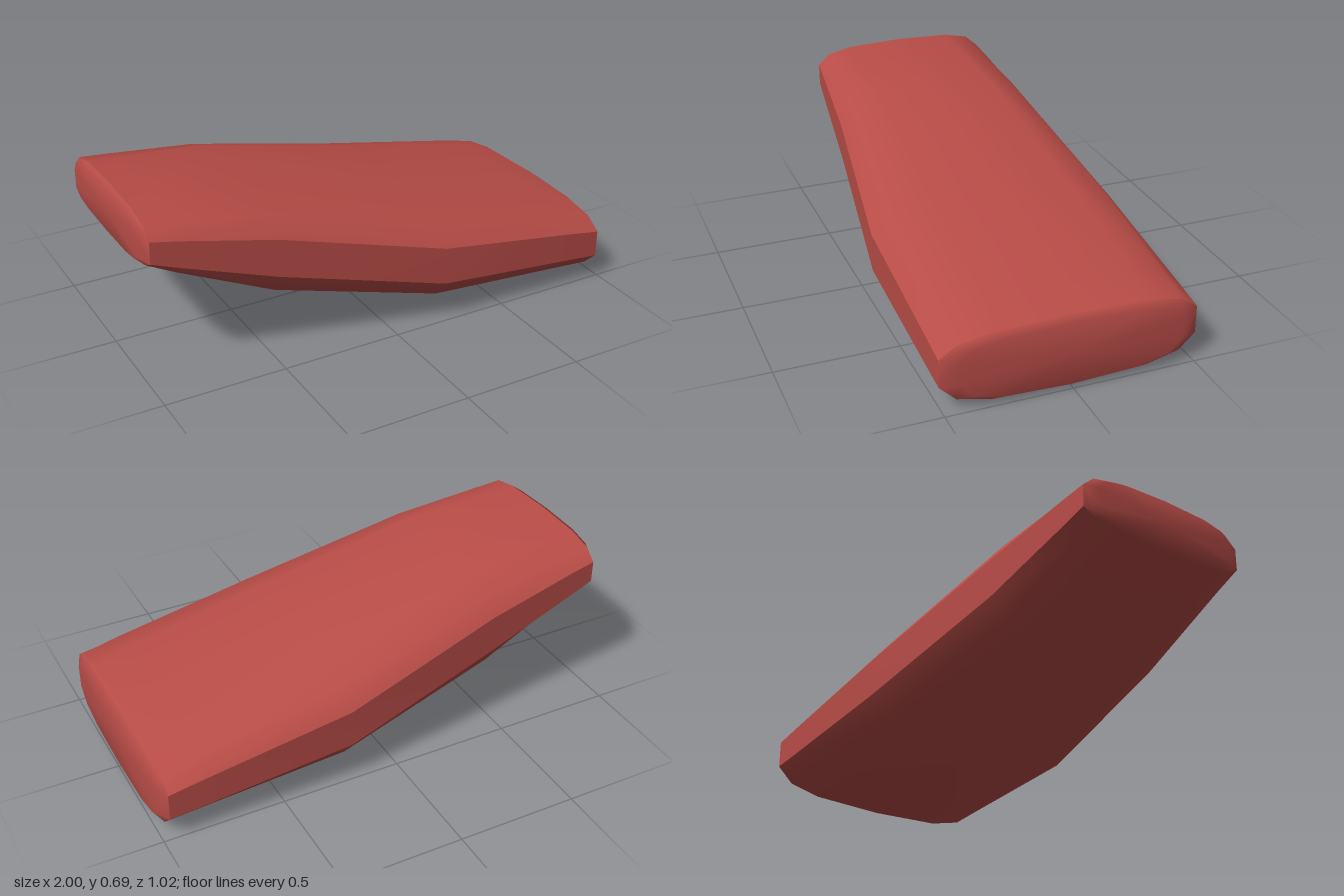
import * as THREE from 'three';

// Stations along the body: x, half width, top, side top edge, side bottom edge, bottom
const stations = [
  [-0.975, 0.385, 0.695, 0.62, 0.53, 0.485],
  [-0.86, 0.395, 0.685, 0.6, 0.49, 0.417],
  [-0.48, 0.428, 0.652, 0.523, 0.365, 0.222],
  [0.21, 0.512, 0.48, 0.343, 0.185, 0.05],
  [0.82, 0.512, 0.345, 0.25, 0.126, 0.014],
  [0.972, 0.512, 0.303, 0.225, 0.112, 0.003],
];

// Curved crown from the -z edge to the +z edge: [share of width, share of drop]
const crown = [[-1, 1], [-0.87, 0.41], [-0.6, 0.11], [0, 0], [0.6, 0.11], [0.87, 0.41], [1, 1]];

const topRow = ([x, w, t, s]) => crown.map(([u, v]) => new THREE.Vector3(x, t + (s - t) * v, u * w));
const bottomRow = ([x, w, , , s, b]) => crown.map(([u, v]) => new THREE.Vector3(x, b + (s - b) * v, u * w));

// Smooth surface through rows of points
function skin(rows, flip = false) {
  const n = rows[0].length;
  const index = [];
  for (let i = 0; i < rows.length - 1; i++) {
    for (let j = 0; j < n - 1; j++) {
      const a = i * n + j, b = a + 1, c = a + n, d = c + 1;
      if (flip) index.push(a, c, b, b, c, d);
      else index.push(a, b, c, b, d, c);
    }
  }
  const geometry = new THREE.BufferGeometry().setFromPoints(rows.flat());
  geometry.setIndex(index);
  geometry.computeVertexNormals();
  return geometry;
}

// Bevelled end: outer ring, smaller ring moved outward, and a centre point
function endCap(station, endX) {
  const ring = [...topRow(station), ...bottomRow(station).reverse()];
  const n = ring.length;
  const midY = (station[2] + station[5]) / 2;
  const inner = ring.map((p) => new THREE.Vector3(endX, midY + (p.y - midY) * 0.86, p.z * 0.86));
  const index = [];
  const add = (a, b, c) => (endX > 0 ? index.push(a, c, b) : index.push(a, b, c));
  for (let i = 0; i < n; i++) {
    const j = (i + 1) % n;
    add(i, n + i, j);
    add(j, n + i, n + j);
    add(n + i, 2 * n, n + j);
  }
  // The ring runs from -z over the top to +z, so the corner order is mirrored here
  for (let k = 0; k < index.length; k += 3) {
    [index[k + 1], index[k + 2]] = [index[k + 2], index[k + 1]];
  }
  const centre = new THREE.Vector3(endX, midY, 0);
  const geometry = new THREE.BufferGeometry().setFromPoints([...ring, ...inner, centre]);
  geometry.setIndex(index);
  geometry.computeVertexNormals();
  // Make sure the cap faces outward
  if (geometry.attributes.normal.getX(2 * n) * endX < 0) {
    geometry.setIndex(index.reverse());
    geometry.computeVertexNormals();
  }
  return geometry;
}

export function createModel() {
  const model = new THREE.Group();
  const red = new THREE.MeshStandardMaterial({ color: 0xb84c47 });
  red.name = 'red';

  const add = (name, geometry) => {
    const mesh = new THREE.Mesh(geometry, red);
    mesh.name = name;
    model.add(mesh);
  };

  // Upper and lower shells
  add('topShell', skin(stations.map(topRow)));
  add('bottomShell', skin(stations.map(bottomRow), true));

  // Upright side bands between the two shells
  for (const side of [1, -1]) {
    const rows = stations.map(([x, w, , upper, lower]) => [
      new THREE.Vector3(x, upper, side * w),
      new THREE.Vector3(x, lower, side * w),
    ]);
    add(side > 0 ? 'frontSide' : 'backSide', skin(rows, side < 0));
  }

  // Bevelled ends
  add('highEnd', endCap(stations[0], -1));
  add('lowEnd', endCap(stations[stations.length - 1], 1));
  return model;
}
